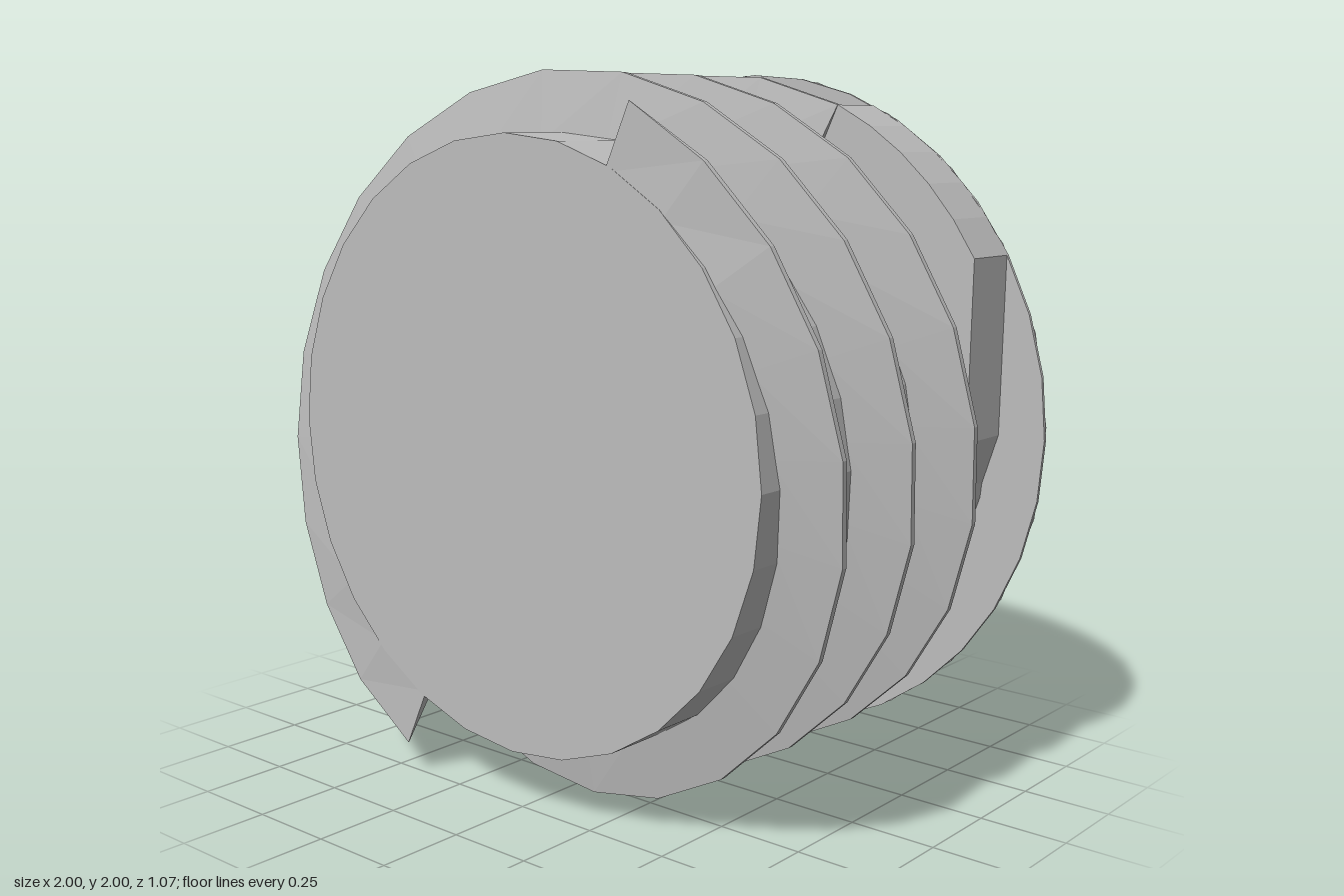
import * as THREE from 'three';

const CORE_R = 0.83, FLANGE_R = 1.0, FRONT_Z = 0.537, BACK_Z = -0.537, SIDES = 28;
const rad = THREE.MathUtils.degToRad;

// Point at radius r and angle measured clockwise from the top, seen from the front
const polar = (r, deg, z) => [r * Math.sin(rad(deg)), r * Math.cos(rad(deg)), z];

// Surface through rows of points; the front side is (row direction) x (column direction)
function gridGeometry(rows) {
  const index = [], n = rows[0].length;
  for (let i = 0; i < rows.length - 1; i++) {
    for (let j = 0; j < n - 1; j++) {
      const a = i * n + j, b = a + n;
      index.push(a, b, b + 1, a, b + 1, a + 1);
    }
  }
  const g = new THREE.BufferGeometry();
  g.setAttribute('position', new THREE.Float32BufferAttribute(rows.flat(2), 3));
  g.setIndex(index);
  g.computeVertexNormals();
  return g;
}

// Helical ridge of one and a half turns, cut flush with the front face
function threadGeometry() {
  const start = -335, end = 205, steps = 36;
  const profile = [[0.81, 0.032], [FLANGE_R, 0.008], [FLANGE_R, -0.008], [0.81, -0.032]];
  const centre = (deg) => -0.015 - 0.30 * deg / 180;
  const clamp = (z) => Math.min(z, FRONT_Z);
  const cap = (deg) => profile.map(() => polar(0.81, deg, clamp(centre(deg))));
  const rows = [cap(start)];
  for (let i = 0; i <= steps; i++) {
    const deg = start + (end - start) * i / steps;
    rows.push(profile.map(([r, dz]) => polar(r, deg, clamp(centre(deg) + dz))));
  }
  rows.push(cap(end));
  return gridGeometry(rows);
}

// Half of the back face: a curved finger wall, then a ramp rising back to the surface
function gripGeometry() {
  const depth = 0.15, span = 135;
  // radius, wall angle, share of the full depth
  const rings = [[0, 45, 0], [0.08, 45, 0.5], [0.21, 48, 0.9], [0.46, 49, 1], [0.65, 40, 1],
    [0.785, 28, 1], [0.785, 28, 0], [FLANGE_R, 28, 0]];
  const row = (t, d) => rings.map(([r, wall, k]) => polar(r, wall - t, BACK_Z + d * k));
  const rows = [row(0, 0)];
  for (let t = 0; t <= 180; t += 15) rows.push(row(t, depth * Math.max(0, 1 - t / span)));
  return gridGeometry(rows);
}

// Stop block against the flange, with a straight outer side
function stopGeometry() {
  const shape = new THREE.Shape();
  const at = (r, deg) => polar(r, deg, 0).slice(0, 2);
  shape.moveTo(...at(0.8, 25));
  for (let deg = 25; deg <= 60; deg += 7) shape.lineTo(...at(FLANGE_R, deg));
  shape.lineTo(0.86, 0);
  shape.lineTo(...at(0.82, 104));
  for (let deg = 100; deg > 25; deg -= 15) shape.lineTo(...at(0.8, deg));
  shape.closePath();
  return new THREE.ExtrudeGeometry(shape, { depth: 0.18, bevelEnabled: false });
}

export function createModel() {
  const grey = new THREE.MeshStandardMaterial({
    color: 0xbcbcbc, flatShading: true, side: THREE.DoubleSide,
  });
  grey.name = 'plain grey';

  const model = new THREE.Group();
  model.name = 'threadedPlug';
  const add = (name, geometry, z = 0, turn = 0) => {
    const mesh = new THREE.Mesh(geometry, grey);
    mesh.name = name;
    mesh.position.set(0, 1, z);
    mesh.rotation.z = turn;
    model.add(mesh);
  };

  // Core and its flat front
  const length = FRONT_Z - BACK_Z;
  const core = new THREE.CylinderGeometry(CORE_R, CORE_R, length, SIDES, 1, true);
  add('core', core.rotateX(Math.PI / 2), (FRONT_Z + BACK_Z) / 2);
  add('frontFace', new THREE.CircleGeometry(CORE_R, SIDES), FRONT_Z);

  // Thin flange at the back
  const rim = new THREE.CylinderGeometry(FLANGE_R, FLANGE_R, 0.01, 36, 1, true);
  add('flangeRim', rim.rotateX(Math.PI / 2), BACK_Z + 0.005);
  add('flangeFront', new THREE.RingGeometry(0.81, FLANGE_R, 36), BACK_Z + 0.01);

  // Paired parts, half a turn apart
  const thread = threadGeometry(), grip = gripGeometry(), stop = stopGeometry();
  ['A', 'B'].forEach((id, i) => {
    const turn = i * Math.PI;
    add('thread' + id, thread, 0, turn);
    add('fingerRecess' + id, grip, 0, turn);
    add('stopBlock' + id, stop, -0.53, turn);
  });
  return model;
}
